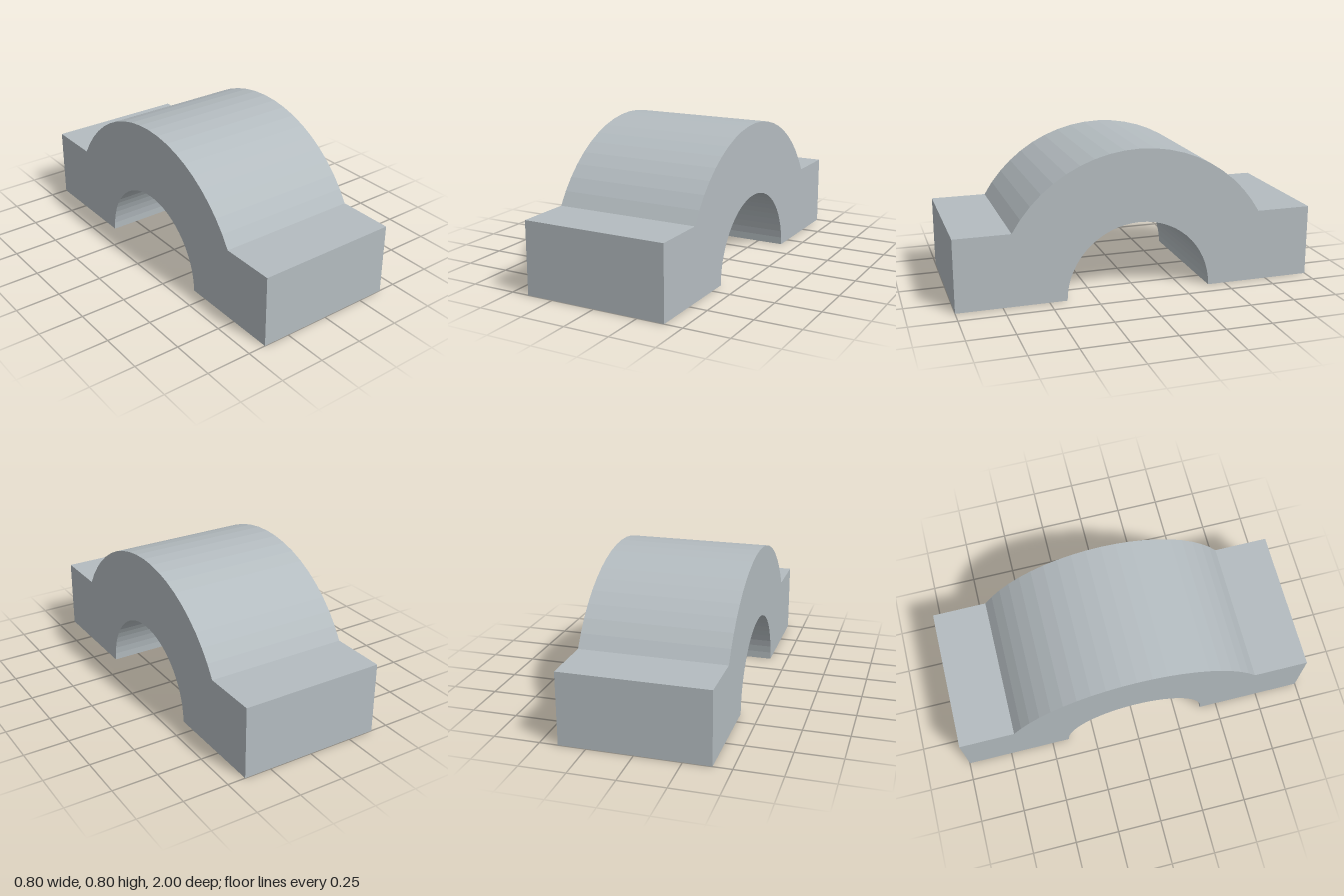
import * as THREE from 'three';

const OUTER_R = 0.8, INNER_R = 0.403, INNER_H = 0.4; // arch and bore
const LENGTH = 2, WIDTH = 0.8, FLANGE_H = 0.4;

// Adds the points of an arc about the origin, angles in degrees.
function arc(points, rx, ry, from, to, segments) {
  for (let i = 0; i <= segments; i++) {
    const a = THREE.MathUtils.degToRad(from + (to - from) * i / segments);
    points.push(new THREE.Vector2(rx * Math.cos(a), ry * Math.sin(a)));
  }
}

export function createModel() {
  const group = new THREE.Group();
  group.name = 'bearingCap';

  const steel = new THREE.MeshStandardMaterial({ color: 0xb4bcc0, flatShading: true });
  steel.name = 'grey steel';

  // Side profile: flange, outer arch, flange, then back through the bore
  const half = LENGTH / 2;
  const points = [new THREE.Vector2(half, 0), new THREE.Vector2(half, FLANGE_H)];
  arc(points, OUTER_R, OUTER_R, 30, 150, 20);
  points.push(new THREE.Vector2(-half, FLANGE_H), new THREE.Vector2(-half, 0));
  arc(points, INNER_R, INNER_H, 180, 0, 30);

  // Extruded across the width
  const geometry = new THREE.ExtrudeGeometry(new THREE.Shape(points), {
    depth: WIDTH, bevelEnabled: false,
  });
  geometry.translate(0, 0, -WIDTH / 2);
  geometry.rotateY(Math.PI / 2);

  const cap = new THREE.Mesh(geometry, steel);
  cap.name = 'archedCapWithFlanges';
  group.add(cap);
  return group;
}
